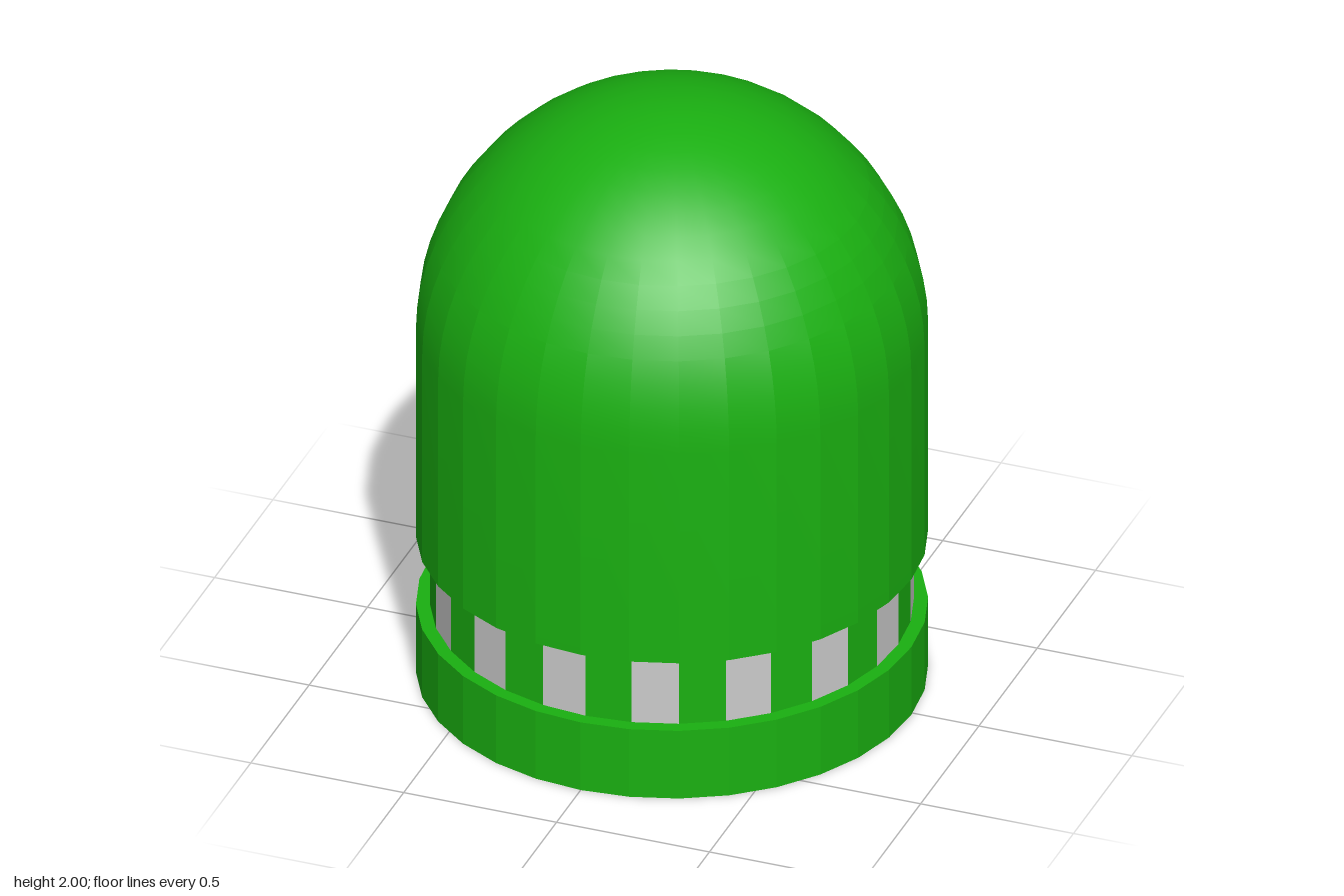
import * as THREE from 'three';
import { toCreasedNormals } from 'three/addons/utils/BufferGeometryUtils.js';

const SIDES = 32, RADIUS = 0.783, CREASE = 0.18;

export function createModel() {
  const model = new THREE.Group();
  model.name = 'monster';
  const green = new THREE.MeshStandardMaterial({ color: 0x1ab011 });
  const white = new THREE.MeshStandardMaterial({ color: 0xcccccc });
  const black = new THREE.MeshStandardMaterial({ color: 0x080808 });

  const add = (parent, name, geometry, material, x = 0, y = 0, z = 0) => {
    const mesh = new THREE.Mesh(toCreasedNormals(geometry, CREASE), material);
    mesh.name = name;
    mesh.position.set(x, y, z);
    parent.add(mesh);
    return mesh;
  };

  // Everything but the eyes shares one vertical axis
  const body = new THREE.Group();
  body.name = 'body';
  body.position.z = 0.01;
  model.add(body);

  // Lower jaw
  add(body, 'lowerJaw', new THREE.CylinderGeometry(RADIUS, RADIUS, 0.24, SIDES), green, 0, 0.12, 0);

  // Head: straight wall ending in a half-sphere dome
  const domeBase = 2 - RADIUS, rows = 16;
  const profile = [new THREE.Vector2(0, 0.48), new THREE.Vector2(RADIUS, 0.48)];
  for (let i = 0; i <= rows; i++) {
    const a = (i / rows) * Math.PI / 2;
    profile.push(new THREE.Vector2(i === rows ? 0 : RADIUS * Math.cos(a), domeBase + RADIUS * Math.sin(a)));
  }
  add(body, 'head', new THREE.LatheGeometry(profile, SIDES), green);

  // Recessed mouth band: every other facet is a tooth
  const step = (Math.PI * 2) / SIDES;
  const mouth = new THREE.Group();
  mouth.name = 'mouth';
  body.add(mouth);
  for (let i = 0; i < SIDES; i++) {
    const facet = new THREE.CylinderGeometry(0.74, 0.74, 0.24, 1, 1, true, i * step, step);
    add(mouth, i % 2 ? 'tooth' : 'toothGap', facet, i % 2 ? white : green, 0, 0.36, 0);
  }

  // Eyes bulging from the back of the head, pupils looking along -z
  for (const side of [-1, 1]) {
    const eye = new THREE.Group();
    eye.name = side > 0 ? 'leftEye' : 'rightEye';
    eye.position.set(side * 0.329 + 0.005, 1.242, -0.64);
    add(eye, 'eyeball', new THREE.SphereGeometry(0.14, 32, 16), white);
    add(eye, 'pupil', new THREE.SphereGeometry(0.108, 32, 16), black, 0, 0, -0.045);
    model.add(eye);
  }
  return model;
}
